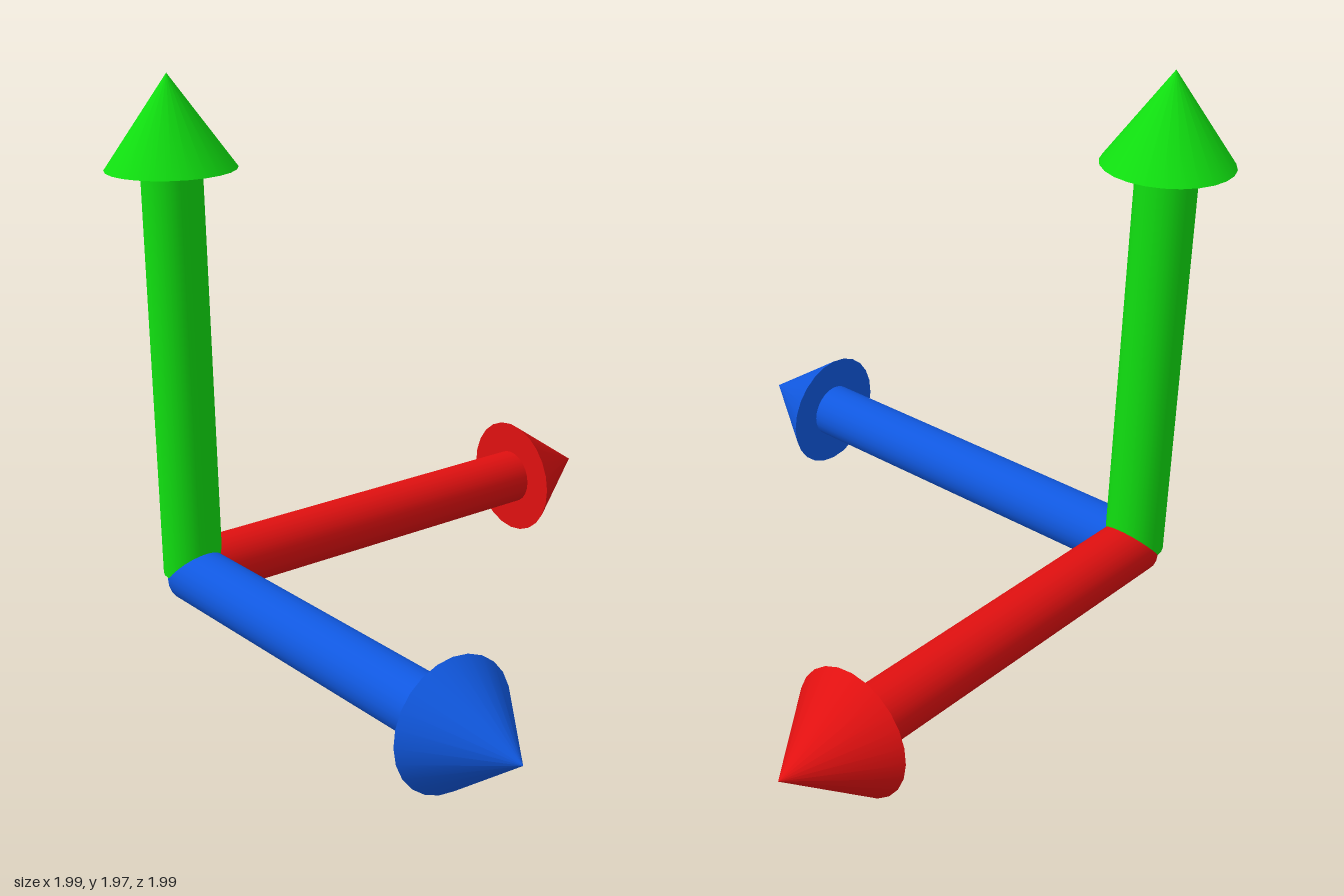
import * as THREE from 'three';

const SIDES = 24;
const SHAFT_RADIUS = 0.102;
const HEAD_RADIUS = 0.219;
const HEAD_LENGTH = 0.313;

// One arrow along +y: a capped shaft starting at the origin and a cone head
function makeArrow(name, color, length) {
  const arrow = new THREE.Group();
  arrow.name = name;
  const material = new THREE.MeshStandardMaterial({ color });

  const shaftLength = length - HEAD_LENGTH;
  const shaft = new THREE.Mesh(
    new THREE.CylinderGeometry(SHAFT_RADIUS, SHAFT_RADIUS, shaftLength, SIDES),
    material
  );
  shaft.name = name + 'Shaft';
  shaft.position.y = shaftLength / 2;

  const head = new THREE.Mesh(
    new THREE.ConeGeometry(HEAD_RADIUS, HEAD_LENGTH, SIDES),
    material
  );
  head.name = name + 'Head';
  head.position.y = shaftLength + HEAD_LENGTH / 2;

  arrow.add(shaft, head);
  return arrow;
}

export function createModel() {
  const model = new THREE.Group();
  model.name = 'axisArrows';

  // Upright arrow
  const up = makeArrow('upArrow', 0x10e010, 1.74);
  up.position.set(-0.781, 0.229, -0.781);

  // Sideways arrow, pointing to +x
  const side = makeArrow('sideArrow', 0xe01010, 1.775);
  side.position.set(-0.781, 0.23, -0.781);
  side.rotation.z = -Math.PI / 2;

  // Forward arrow, pointing to +z
  const forward = makeArrow('forwardArrow', 0x1058e0, 1.775);
  forward.position.set(-0.781, 0.222, -0.781);
  forward.rotation.x = Math.PI / 2;

  model.add(up, side, forward);
  return model;
}
